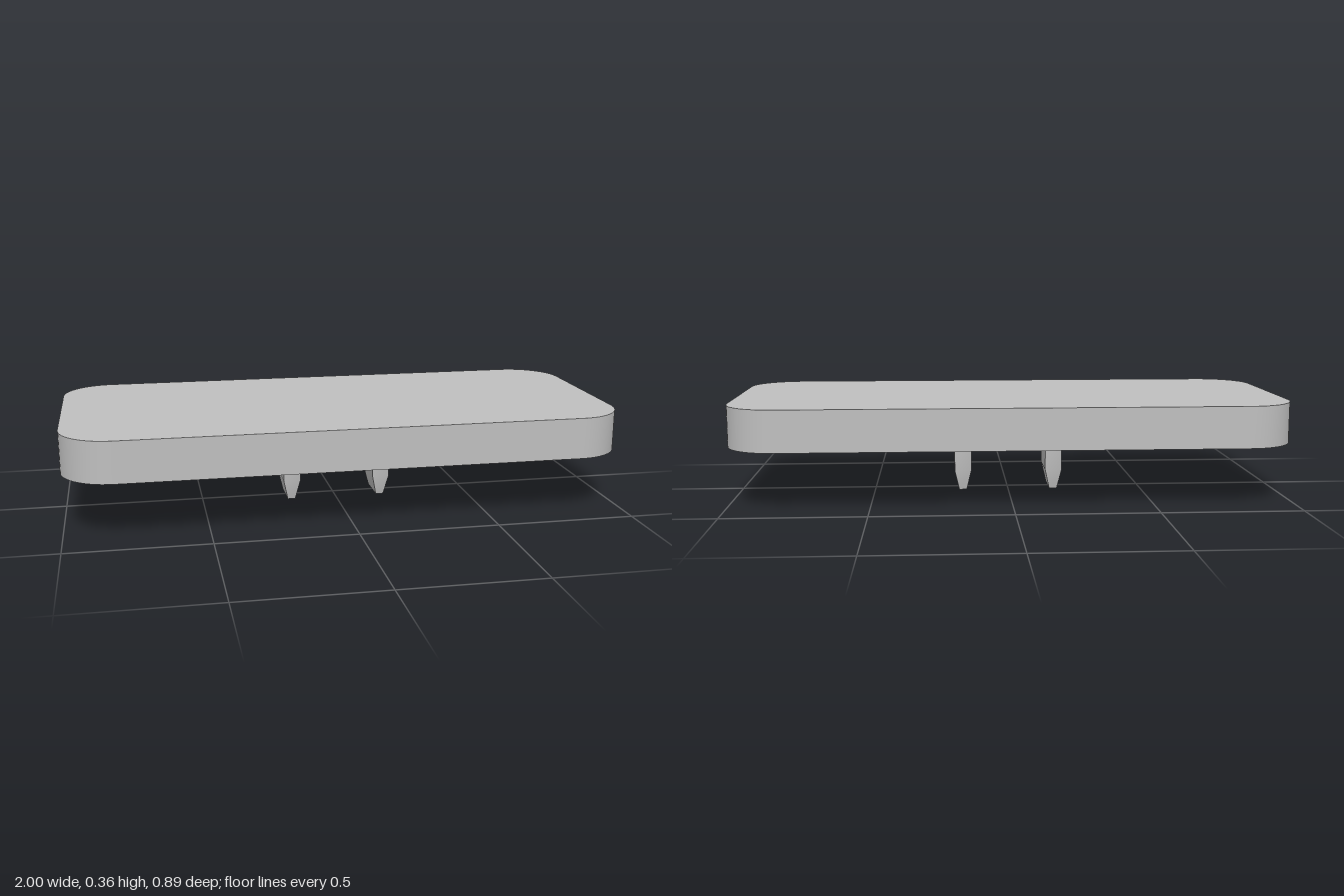
import * as THREE from 'three';
import { toCreasedNormals } from 'three/addons/utils/BufferGeometryUtils.js';

// Rounded rectangle outline at height y: half sizes hx, hz, corner radius r
function outline(y, hx, hz, r, steps) {
  const loop = [];
  for (let corner = 0; corner < 4; corner++) {
    const sx = corner === 0 || corner === 3 ? 1 : -1;
    const sz = corner < 2 ? 1 : -1;
    for (let i = 0; i <= steps; i++) {
      const a = (corner + (steps ? i / steps : 0)) * Math.PI / 2;
      loop.push([sx * (hx - r) + r * Math.cos(a), y, sz * (hz - r) + r * Math.sin(a)]);
    }
  }
  return loop;
}

// Skin the loops in order, from the underside outwards and up; zero-size loops close the ends
function loft(loops) {
  const positions = [];
  const same = (p, q) => Math.hypot(p[0] - q[0], p[1] - q[1], p[2] - q[2]) < 1e-6;
  const tri = (p, q, s) => {
    if (!same(p, q) && !same(q, s) && !same(s, p)) positions.push(...p, ...q, ...s);
  };
  for (let k = 0; k < loops.length - 1; k++) {
    const lower = loops[k], upper = loops[k + 1], n = lower.length;
    for (let j = 0; j < n; j++) {
      const m = (j + 1) % n;
      tri(lower[j], upper[j], lower[m]);
      tri(lower[m], upper[j], upper[m]);
    }
  }
  const geometry = new THREE.BufferGeometry();
  geometry.setAttribute('position', new THREE.Float32BufferAttribute(positions, 3));
  return toCreasedNormals(geometry, Math.PI / 9);
}

export function createModel() {
  const group = new THREE.Group();
  group.name = 'roundedCover';
  const grey = new THREE.MeshStandardMaterial({ color: 0xbfbfbf });
  grey.name = 'lightGrey';

  const bottom = 0.21, floor = 0.245, top = 0.358;
  const steps = 14, rim = 0.055;
  const halfX = 1, halfZ = 0.445, radius = 0.18;

  // Plate with a shallow recess underneath
  const plate = new THREE.Mesh(loft([
    outline(floor, 0, 0, 0, steps),
    outline(floor, halfX - rim, halfZ - rim, radius - rim, steps),
    outline(bottom, halfX - rim, halfZ - rim, radius - rim, steps),
    outline(bottom, halfX, halfZ, radius, steps),
    outline(top, halfX, halfZ, radius, steps),
    outline(top, 0, 0, 0, steps),
  ]), grey);
  plate.name = 'plate';
  group.add(plate);

  // Two pegs with tapered tips
  const pegGeometry = loft([
    outline(0, 0, 0, 0, 0),
    outline(0, 0.014, 0.067, 0, 0),
    outline(0.075, 0.031, 0.085, 0, 0),
    outline(floor, 0.031, 0.085, 0, 0),
  ]);
  for (const side of [1, -1]) {
    const peg = new THREE.Mesh(pegGeometry, grey);
    peg.name = side > 0 ? 'leftPeg' : 'rightPeg';
    peg.position.x = side * 0.17;
    group.add(peg);
  }
  return group;
}
